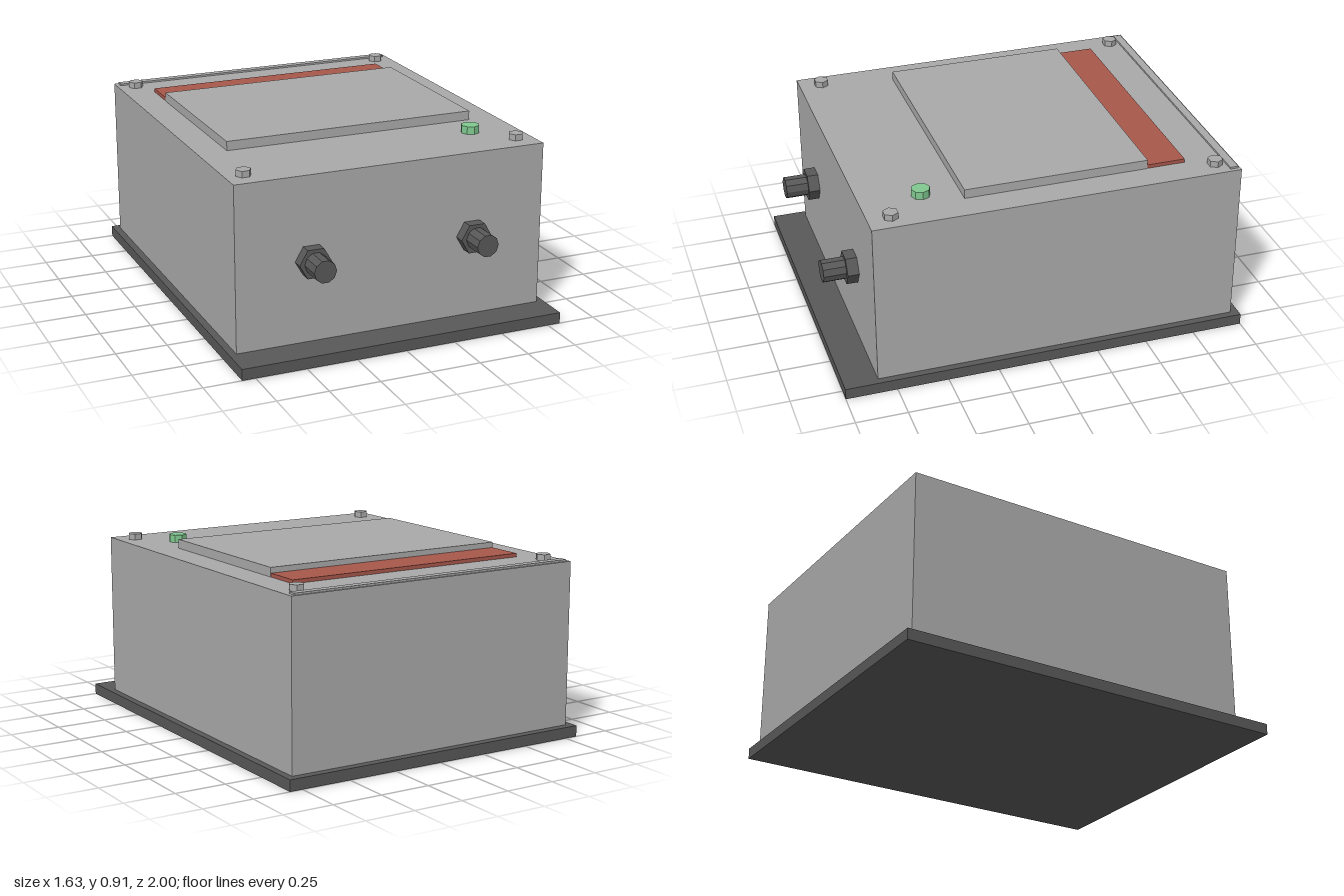
import * as THREE from 'three';

export function createModel() {
  const model = new THREE.Group();
  model.name = 'controlBox';

  const flat = (name, color) => {
    const m = new THREE.MeshStandardMaterial({ color, flatShading: true });
    m.name = name;
    return m;
  };
  const grey = flat('enclosureGrey', 0xa9a9a9);
  const dark = flat('darkGrey', 0x585858);
  const red = flat('labelRed', 0xa8574b);
  const green = flat('lampGreen', 0x80c88f);

  const add = (name, geometry, material, parent = model) => {
    const mesh = new THREE.Mesh(geometry, material);
    mesh.name = name;
    parent.add(mesh);
    return mesh;
  };
  // Box given by its limits on each axis
  const block = (name, material, [x0, x1], [y0, y1], [z0, z1]) =>
    add(name, new THREE.BoxGeometry(x1 - x0, y1 - y0, z1 - z0), material)
      .position.set((x0 + x1) / 2, (y0 + y1) / 2, (z0 + z1) / 2);
  // Upright prism with a corner pointing along x
  const prism = (radius, height, sides) =>
    new THREE.CylinderGeometry(radius, radius, height, sides).rotateY(Math.PI / 2);

  const top = 0.865;

  // Mounting plate and enclosure
  block('basePlate', dark, [-0.815, 0.815], [0, 0.055], [-1, 1]);
  block('enclosure', grey, [-0.78, 0.78], [0.055, top], [-0.96, 0.835]);

  // Raised cover, warning strip tucked under its back edge, rear hinge strip
  block('coverPanel', grey, [-0.635, 0.635], [top, 0.91], [-0.54, 0.36]);
  block('warningStrip', red, [-0.633, 0.633], [top, 0.883], [-0.73, -0.455]);
  block('hingeStrip', grey, [-0.76, 0.76], [top, 0.874], [-0.95, -0.91]);

  // Corner screws
  for (const x of [-0.692, 0.692]) {
    for (const z of [-0.86, 0.725]) {
      add('cornerScrew', prism(0.037, 0.03, 6), grey).position.set(x, top + 0.015, z);
    }
  }

  // Indicator lamp
  add('indicatorLamp', prism(0.045, 0.038, 8), green).position.set(0.543, top + 0.019, 0.543);

  // Cable glands: hex nut and stub
  for (const x of [-0.41, 0.41]) {
    const gland = new THREE.Group();
    gland.name = 'cableGland';
    gland.position.set(x, 0.457, 0.835);
    model.add(gland);
    add('glandNut', prism(0.08, 0.055, 6).rotateX(Math.PI / 2), dark, gland).position.z = 0.0275;
    add('glandStub', prism(0.055, 0.11, 10).rotateX(Math.PI / 2), dark, gland).position.z = 0.11;
  }

  return model;
}
